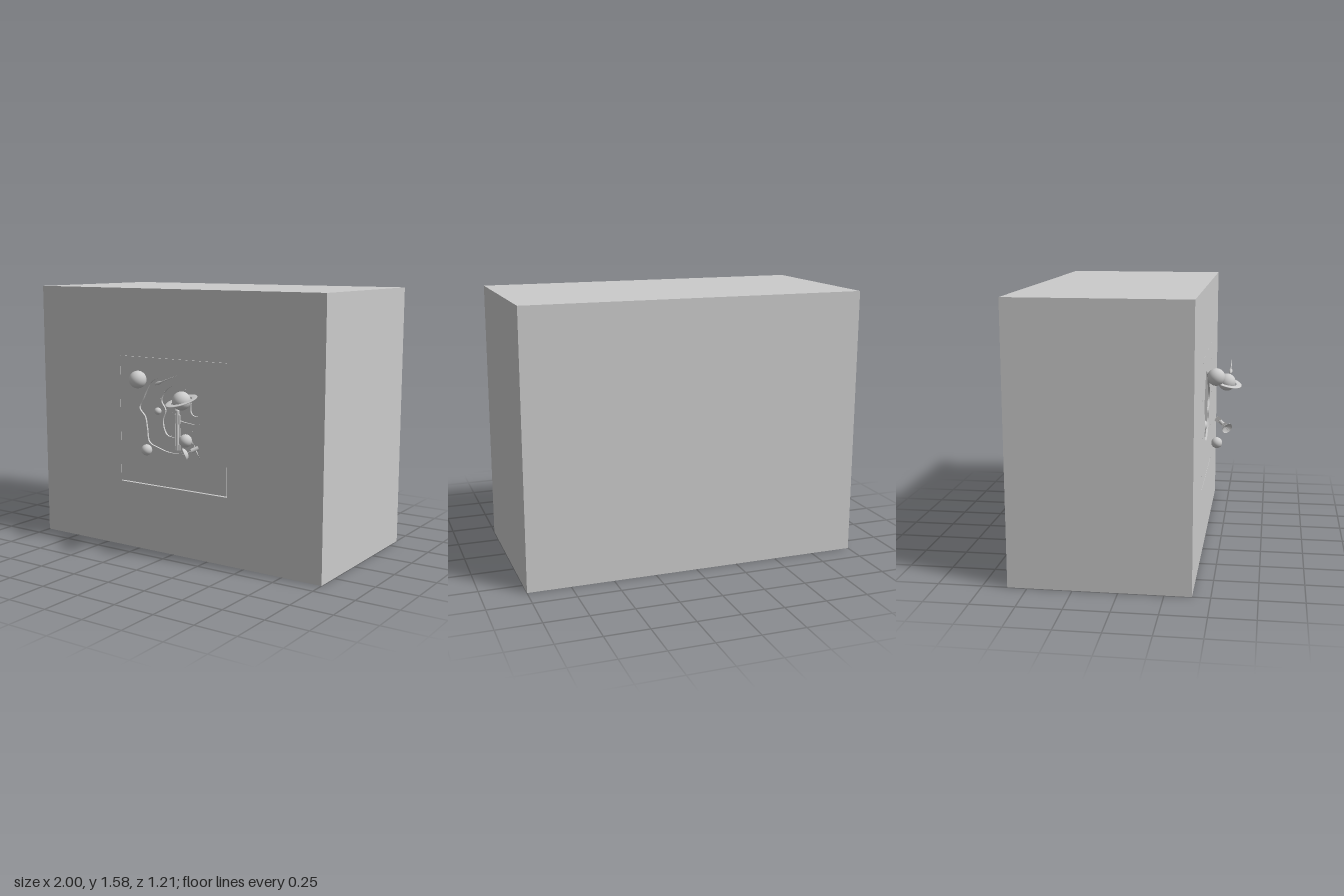
import * as THREE from 'three';

const grey = new THREE.MeshStandardMaterial({ color: 0xcccccc, side: THREE.DoubleSide });
const UP = new THREE.Vector3(0, 1, 0);
const V = (x, y, z) => new THREE.Vector3(x, y, z);

export function createModel() {
  const model = new THREE.Group();
  const add = (name, geo, x = 0, y = 0, z = 0, parent = model) => {
    const m = new THREE.Mesh(geo, grey);
    m.name = name;
    m.position.set(x, y, z);
    parent.add(m);
    return m;
  };
  const rect = (T, x0, x1, y0, y1) => new T([[x0, y0], [x1, y0], [x1, y1], [x0, y1]].map(p => new THREE.Vector2(...p)));
  const plate = (name, shape, depth, frontZ) =>
    add(name, new THREE.ExtrudeGeometry(shape, { depth, bevelEnabled: false, curveSegments: 8 }), 0, 0, frontZ - depth);

  // Cabinet: solid rear and a front part with a square window
  add('cabinetBody', new THREE.BoxGeometry(2, 1.58, 0.61), 0, 0.79, -0.305);
  const front = rect(THREE.Shape, -1, 1, 0, 1.58);
  front.holes.push(rect(THREE.Path, -0.385, 0.385, 0.405, 1.177));
  plate('cabinetFront', front, 0.4, 0.4);

  // Stacked sheets with wavy openings, smaller towards the back
  const openings = [
    [[-.14, 1.04], [-.06, 1.06], [0, 1.03], [.09, 1.03], [.17, .97], [.23, .90], [.24, .83], [.18, .77], [.17, .71], [.09, .64],
      [0, .62], [-.10, .64], [-.17, .67], [-.185, .75], [-.20, .82], [-.24, .87], [-.21, .93], [-.185, .98]],
    [[-.10, .99], [0, 1.0], [.10, .99], [.14, .93], [.20, .87], [.17, .80], [.14, .74], [.06, .70], [-.04, .69], [-.12, .70],
      [-.15, .78], [-.13, .85], [-.16, .91]],
    [[-.08, .93], [0, .95], [.08, .94], [.12, .88], [.13, .81], [.06, .77], [-.03, .77], [-.10, .79], [-.11, .86]],
    [[-.05, .89], [0, .90], [.06, .89], [.07, .83], [.02, .80], [-.05, .81]],
  ];
  const sheetZ = [0.4, 0.29, 0.21, 0.13];
  openings.forEach((pts, i) => {
    const sheet = rect(THREE.Shape, -0.384, 0.384, 0.411, 1.176);
    const curve = new THREE.CatmullRomCurve3(pts.map(p => V(p[0], p[1], 0)), true);
    sheet.holes.push(new THREE.Path(curve.getPoints(pts.length * 6).slice(0, -1).map(p => new THREE.Vector2(p.x, p.y))));
    plate('wavySheet' + (i + 1), sheet, 0.012, sheetZ[i]);
  });
  plate('backSheet', rect(THREE.Shape, -0.384, 0.384, 0.411, 1.176), 0.012, 0.05);

  // Planets
  [[-.2, 1.05, .465, .052], [-.135, .637, .47, .033], [-.166, .845, .317, .022], [.068, .695, .36, .039]]
    .forEach(([x, y, z, r]) => add('planet', new THREE.SphereGeometry(r, 32, 20), x, y, z));

  // Ringed planet
  const ringed = new THREE.Group();
  ringed.name = 'ringedPlanet';
  ringed.position.set(0.15, 0.958, 0.512);
  ringed.rotation.set(0.26, 0, 0.15);
  add('globe', new THREE.SphereGeometry(0.054, 32, 20), 0, 0, 0, ringed);
  add('ring', new THREE.LatheGeometry([[.062, -.002], [.094, -.002], [.094, .002], [.062, .002], [.062, -.002]]
    .map(p => new THREE.Vector2(...p)), 48), 0, 0, 0, ringed);
  model.add(ringed);

  // Rocket with two boosters and exhaust columns
  const rocket = new THREE.Group();
  rocket.name = 'rocket';
  rocket.position.set(0, 0, 0.345);
  [[0, .012, .79, .865, .022], [-.015, .006, .79, .84, .012], [.015, .006, .79, .84, .012]].forEach(([x, r, y0, y1, nose]) => {
    add('rocketTube', new THREE.CylinderGeometry(r, r, y1 - y0, 16), x, (y0 + y1) / 2, 0, rocket);
    add('noseCone', new THREE.ConeGeometry(r, nose, 16), x, y1 + nose / 2, 0, rocket);
    add('exhaust', new THREE.CylinderGeometry(r * 0.6, r, y0 - 0.63, 16), x, (y0 + 0.63) / 2, 0, rocket);
  });
  model.add(rocket);

  // Small flying probe with a long thin tail
  const probe = add('flyingProbe', new THREE.LatheGeometry([[0, 0], [.006, .006], [.01, .02], [.01, .04], [.004, .052], [.003, .1], [0, .19]]
    .map(p => new THREE.Vector2(...p)), 12), -0.018, 1.042, 0.54);
  probe.quaternion.setFromUnitVectors(UP, V(0.178, 0.07, 0).normalize());

  // Satellite: body, dish and two panels
  const center = V(0.222, 0.682, 0.478);
  const sat = new THREE.Group();
  sat.name = 'satellite';
  sat.position.copy(center);
  const arm = V(0.075, -0.06, 0.05).normalize();
  const aim = V(-0.055, -0.03, 0.045).normalize();
  const side = new THREE.Vector3().crossVectors(arm, aim).normalize();
  const out = new THREE.Vector3().crossVectors(side, arm);
  sat.quaternion.setFromRotationMatrix(new THREE.Matrix4().makeBasis(arm, out, side));
  add('satelliteBody', new THREE.CylinderGeometry(0.013, 0.013, 0.045, 16), 0, 0.004, 0, sat);
  add('panelArm', new THREE.CylinderGeometry(0.003, 0.003, 0.07, 8), 0, 0, 0, sat).rotation.z = Math.PI / 2;
  for (const s of [-1, 1]) add('solarPanel', new THREE.BoxGeometry(0.045, 0.003, 0.034), s * 0.046, 0, 0, sat);
  add('dish', new THREE.LatheGeometry([[0, 0], [.015, .002], [.028, .009], [.036, .02], [.035, .021], [.027, .011], [0, .003]]
    .map(p => new THREE.Vector2(...p)), 28), 0, 0.048, 0, sat);
  add('dishFeed', new THREE.CylinderGeometry(0.002, 0.002, 0.06, 8), 0, 0.05, 0, sat);
  model.add(sat);

  // Tiny stars just in front of the second and third sheets
  for (let i = 0; i < 22; i++) {
    const a = i * 2.4, outer = i % 2;
    const r = outer ? 0.18 : 0.135;
    add('star', new THREE.SphereGeometry(0.0025, 8, 6), Math.cos(a) * r, 0.85 + Math.sin(a) * r * 0.95, outer ? 0.292 : 0.212);
  }

  // Bring the whole set to its centred place in depth
  for (const part of model.children) {
    if (part.name === 'cabinetBody') part.position.z = -0.305;
  }
  return model;
}
